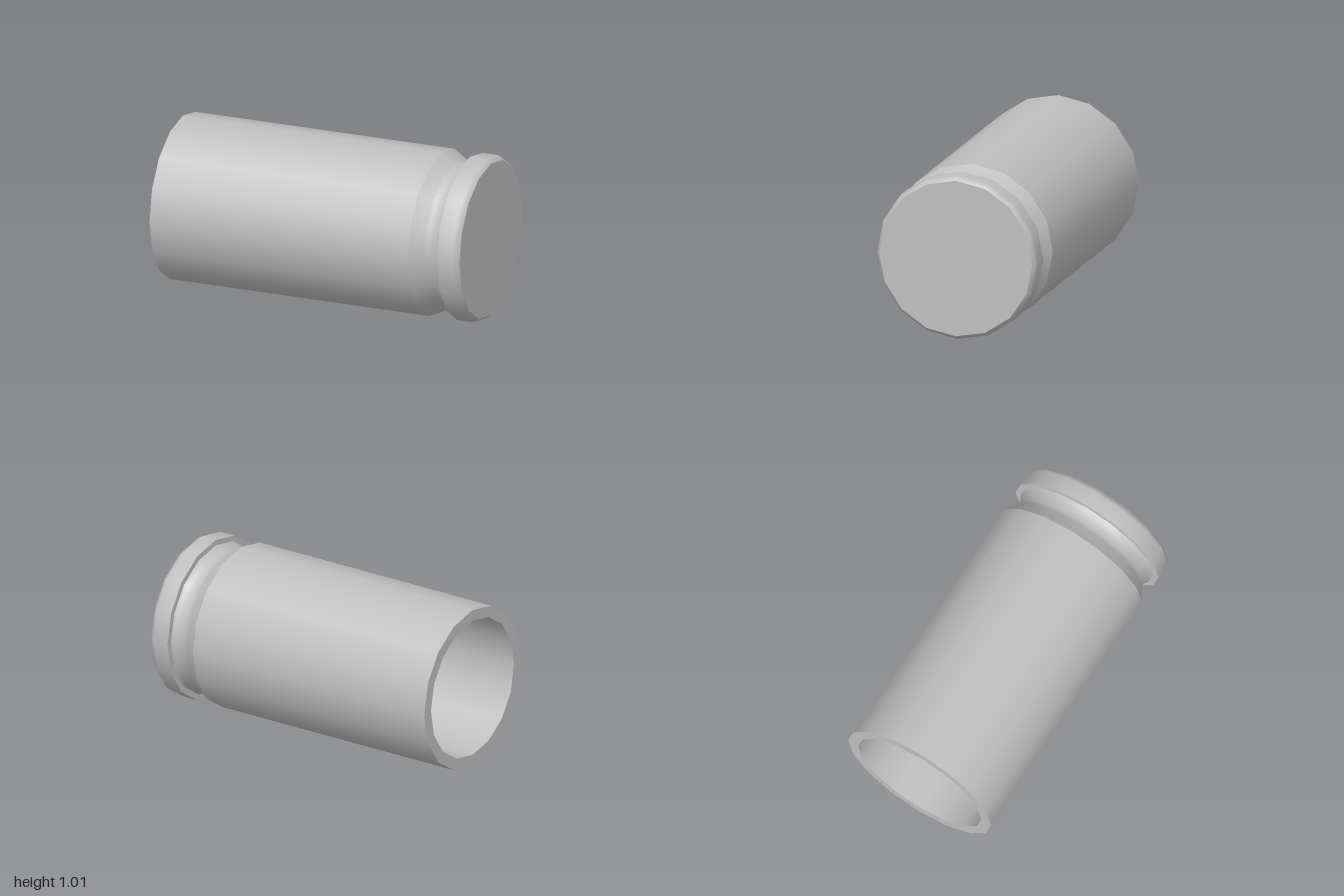
import * as THREE from 'three';

const SIDES = 16;
const RADIUS = 0.505;

export function createModel() {
  const model = new THREE.Group();
  const metal = new THREE.MeshStandardMaterial({ color: 0xbfbfbf });
  metal.name = 'grey metal';

  // Axis lies along x; each profile is a list of [radius, x]
  const addTurned = (name, profile) => {
    const points = profile.map(([r, x]) => new THREE.Vector2(r, x));
    const mesh = new THREE.Mesh(new THREE.LatheGeometry(points, SIDES), metal);
    mesh.name = name;
    mesh.rotation.z = -Math.PI / 2;
    mesh.position.y = RADIUS;
    model.add(mesh);
  };

  // Hollow interior: floor, then wall out to the open mouth
  addTurned('innerFloor', [[0, 0.68], [0.435, 0.68]]);
  addTurned('innerWall', [[0.435, 0.68], [0.435, -1]]);
  addTurned('mouthRing', [[0.435, -1], [RADIUS, -1]]);

  // Outer tube, running smoothly into the extraction groove
  addTurned('body', [[RADIUS, -1], [RADIUS, 0.6], [RADIUS, 0.68]]);
  addTurned('groove', [
    [RADIUS, 0.68], [0.458, 0.755], [0.45, 0.78],
    [0.45, 0.81], [0.456, 0.845], [0.47, 0.865],
  ]);

  // Rim with a bevelled edge and a flat end cap
  addTurned('rimShoulder', [[0.47, 0.865], [RADIUS, 0.865]]);
  addTurned('rim', [[RADIUS, 0.865], [RADIUS, 0.965], [0.495, 0.985], [0.48, 1]]);
  addTurned('endCap', [[0.48, 1], [0, 1]]);

  return model;
}
